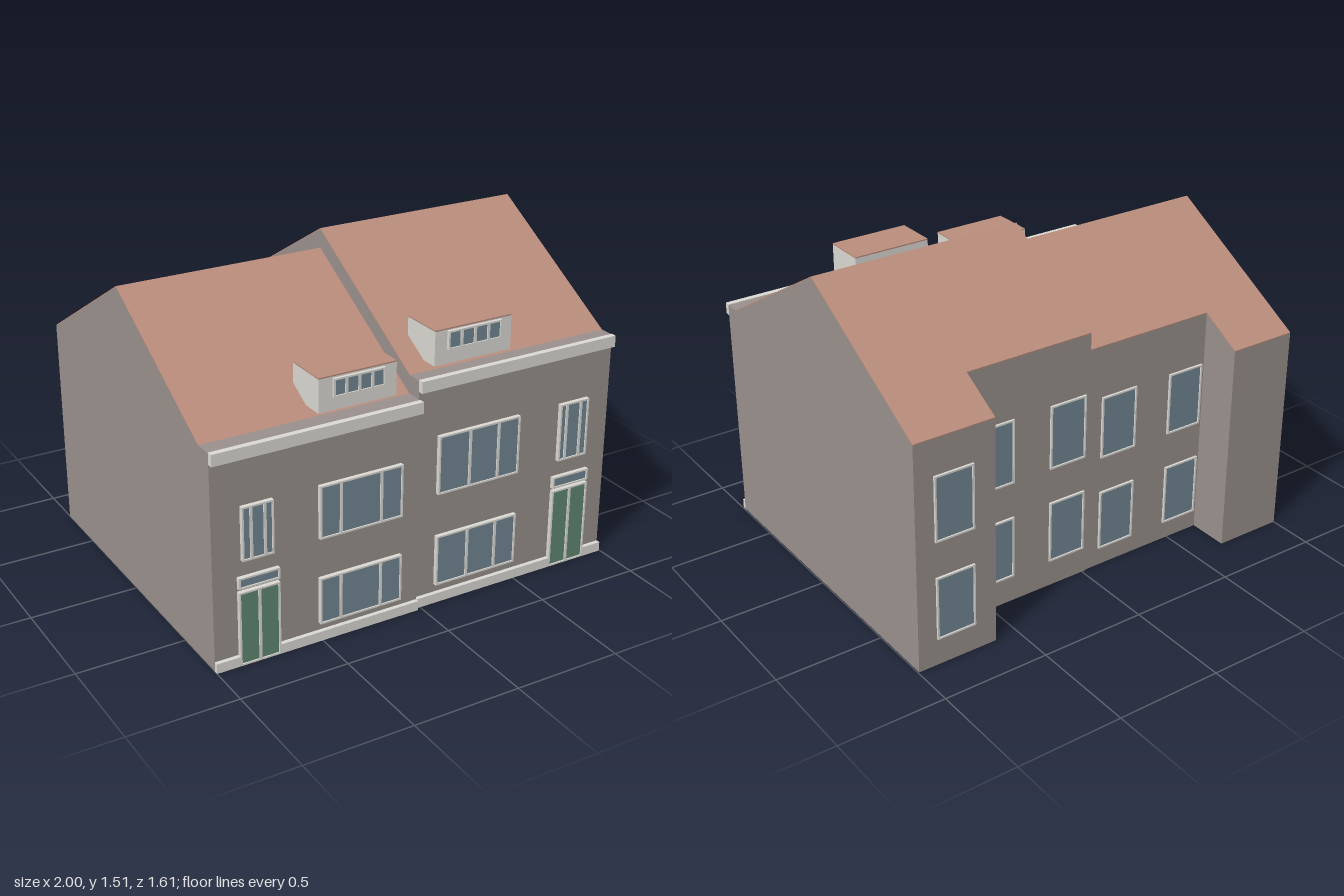
import * as THREE from 'three';

const paint = (name, color) => {
  const m = new THREE.MeshStandardMaterial({ color });
  m.name = name;
  return m;
};

export function createModel() {
  const model = new THREE.Group();
  model.name = 'semiDetachedHouses';
  const brick = paint('brick', 0x9a918d);
  const tile = paint('roof tile', 0xba8d7c);
  const trim = paint('pale trim', 0xdcdad4);
  const glass = paint('window glass', 0x728893);
  const green = paint('door green', 0x5f8773);

  const add = (parent, name, geometry, material) => {
    const mesh = new THREE.Mesh(geometry, material);
    mesh.name = name;
    parent.add(mesh);
    return mesh;
  };

  // Box given by its limits on each axis
  const box = (parent, name, material, x0, x1, y0, y1, z0, z1) =>
    add(parent, name, new THREE.BoxGeometry(x1 - x0, y1 - y0, z1 - z0), material)
      .position.set((x0 + x1) / 2, (y0 + y1) / 2, (z0 + z1) / 2);

  // Profile of [z, y] points swept along x
  const sweep = (parent, name, material, points, x0, x1) => {
    const shape = new THREE.Shape(points.map(([z, y]) => new THREE.Vector2(z, y)));
    const g = new THREE.ExtrudeGeometry(shape, { depth: x1 - x0, bevelEnabled: false });
    g.rotateY(-Math.PI / 2).translate(x1, 0, 0);
    add(parent, name, g, material);
  };

  // Framed opening facing +z: a bar at every mullion, recessed panes between bars
  const opening = (parent, name, fill, [x0, x1, y0, y1], mullions, z, depth = 0.02) => {
    const group = new THREE.Group();
    group.name = name;
    parent.add(group);
    const edge = 0.008, half = 0.006;
    const rect = (T, a, b, c, d) => new T([[a, c], [b, c], [b, d], [a, d]].map(p => new THREE.Vector2(...p)));
    const frame = rect(THREE.Shape, x0, x1, y0, y1);
    const stops = [x0 + edge - half, ...mullions, x1 - edge + half];
    for (let i = 0; i < stops.length - 1; i++) {
      frame.holes.push(rect(THREE.Path, stops[i] + half, stops[i + 1] - half, y0 + edge, y1 - edge));
    }
    const g = new THREE.ExtrudeGeometry(frame, { depth, bevelEnabled: false });
    add(group, 'frame', g.translate(0, 0, z), trim);
    box(group, 'pane', fill, x0 + 0.004, x1 - 0.004, y0 + 0.004, y1 - 0.004, z + depth - 0.013, z + depth - 0.006);
    return group;
  };

  const houses = [
    {
      name: 'lowerHouse', x: [-1, -0.02], wing: [-1, -0.67], main: [-0.67, -0.02],
      wall: 0.775, eave: 0.993, ridge: 1.417, wingBack: -0.785, mainBack: -0.59,
      wide: [-0.51, -0.11], wideBars: [-0.41, -0.215], narrow: [-0.87, -0.725], narrowBars: [-0.828, -0.765],
      floors: [[0.08, 0.3], [0.485, 0.73]],
      door: [-0.89, -0.7, 0, 0.345], transom: [0.36, 0.412],
      dormer: [-0.485, -0.115, 1.025, 1.18], dormerZ: [0.53, 0.735],
      dormerWindow: [-0.42, -0.175, 1.085, 1.168],
      rearFloors: [[0.09, 0.385], [0.56, 0.86]], rear: [[-0.28, -0.09], [-0.655, -0.467]], wingRear: []
    },
    {
      name: 'tallerHouse', x: [-0.02, 0.995], wing: [0.61, 0.995], main: [-0.02, 0.61],
      wall: 0.76, eave: 1.077, ridge: 1.507, wingBack: -0.795, mainBack: -0.595,
      wide: [0.08, 0.5], wideBars: [0.24, 0.388], narrow: [0.72, 0.875], narrowBars: [0.756, 0.832],
      floors: [[0.085, 0.327], [0.53, 0.805]],
      door: [0.7, 0.895, 0, 0.385], transom: [0.397, 0.453],
      dormer: [0.08, 0.467, 1.105, 1.265], dormerZ: [0.517, 0.722],
      dormerWindow: [0.14, 0.41, 1.17, 1.255],
      rearFloors: [[0.13, 0.43], [0.6, 0.905]], rear: [[0.38, 0.567], [0.003, 0.19]], wingRear: [[0.717, 0.905]]
    }
  ];

  for (const h of houses) {
    const house = new THREE.Group();
    house.name = h.name;
    model.add(house);

    // Walls and roof: a main body and a deeper rear wing under one pitch
    const front = 0.69, top = -0.05, skin = 0.005;
    const slope = (h.ridge - h.eave) / (front - top);
    for (const [part, span, back] of [['main', h.main, h.mainBack], ['wing', h.wing, h.wingBack]]) {
      const low = h.ridge - slope * (top - back);
      sweep(house, part + 'Walls', brick, [
        [back, 0], [h.wall, 0], [h.wall, h.eave], [front, h.eave],
        [front, h.eave - skin], [top, h.ridge - skin], [back, low - skin]
      ], ...span);
      sweep(house, part + 'Roof', tile, [
        [front, h.eave], [top, h.ridge], [back, low],
        [back, low - skin], [top, h.ridge - skin], [front, h.eave - skin]
      ], ...span);
    }

    // Front cornice and plinth (broken at the door)
    box(house, 'cornice', trim, ...h.x, h.eave - 0.05, h.eave + 0.003, h.wall - 0.002, h.wall + 0.025);
    box(house, 'plinth', trim, h.x[0], h.door[0], 0, 0.045, h.wall, h.wall + 0.02);
    box(house, 'plinth', trim, h.door[1], h.x[1], 0, 0.045, h.wall, h.wall + 0.02);

    // Front openings
    for (const floor of h.floors) opening(house, 'wideWindow', glass, [...h.wide, ...floor], h.wideBars, h.wall);
    opening(house, 'narrowWindow', glass, [...h.narrow, ...h.floors[1]], h.narrowBars, h.wall);
    opening(house, 'doubleDoor', green, h.door, [(h.door[0] + h.door[1]) / 2], h.wall);
    opening(house, 'transom', glass, [h.door[0], h.door[1], ...h.transom], [], h.wall);

    // Dormer with a row of four panes
    const [dx0, dx1, dy0, dy1] = h.dormer, [wx0, wx1] = h.dormerWindow;
    box(house, 'dormer', trim, dx0, dx1, dy0, dy1 - 0.006, ...h.dormerZ);
    box(house, 'dormerRoof', tile, dx0, dx1, dy1 - 0.006, dy1, ...h.dormerZ);
    const bars = [1, 2, 3].map(i => wx0 + (wx1 - wx0) * i / 4);
    opening(house, 'dormerWindow', glass, h.dormerWindow, bars, h.dormerZ[1], 0.014);

    // Rear windows, turned to face the back
    for (const [list, back] of [[h.rear, h.mainBack], [h.wingRear, h.wingBack]]) {
      for (const [a, b] of list) {
        for (const floor of h.rearFloors) {
          opening(house, 'rearWindow', glass, [-b, -a, ...floor], [], -back - 0.004, 0.014).rotation.y = Math.PI;
        }
      }
    }
  }
  return model;
}
